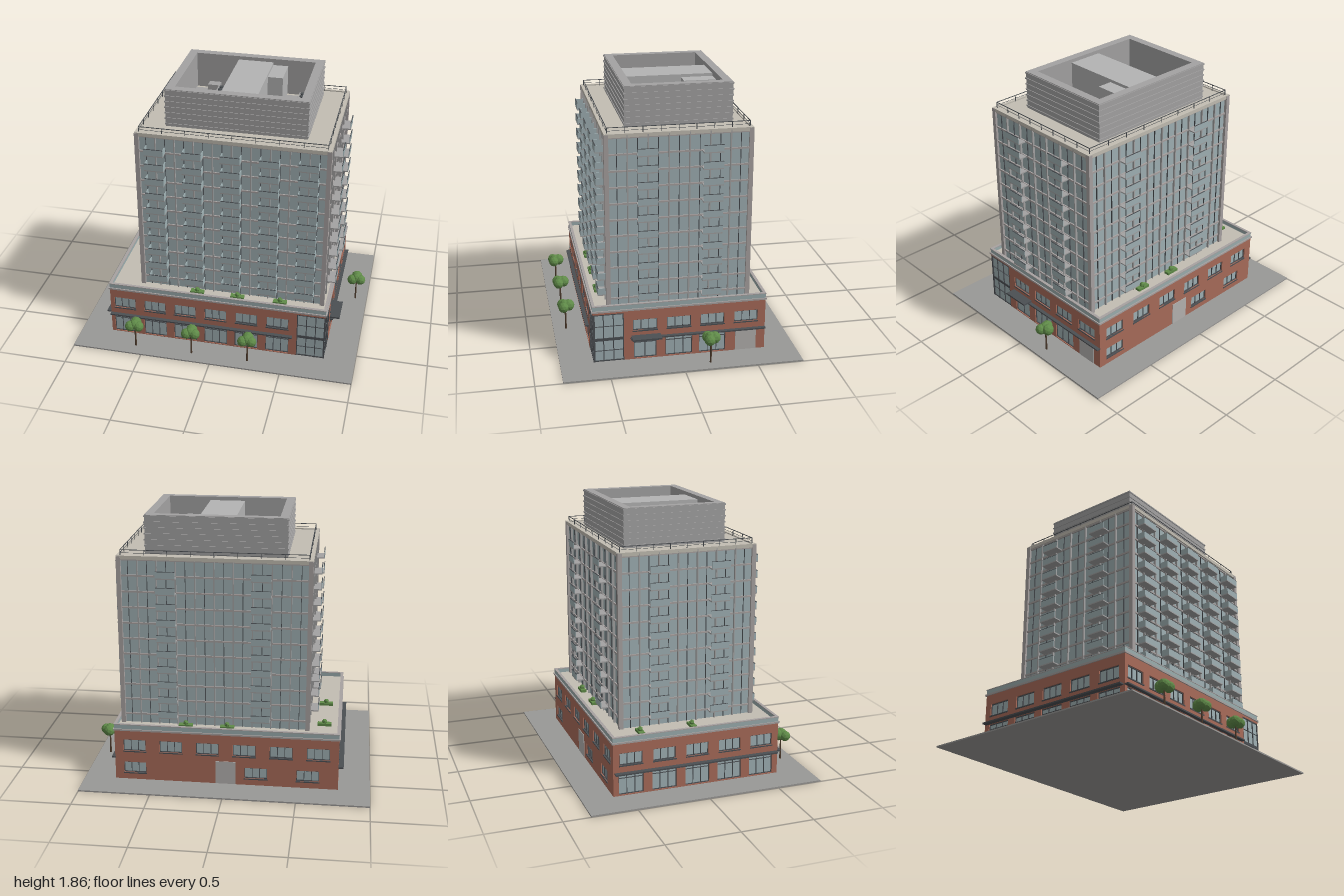
import * as THREE from 'three';
import { mergeGeometries } from 'three/addons/utils/BufferGeometryUtils.js';

const mat = (color, extra = {}) => new THREE.MeshStandardMaterial({ color, ...extra });
const M = {
  paving: mat(0x999896), brick: mat(0xa86b59), glass: mat(0x9fb0b3), dark: mat(0x4b4f53),
  pier: mat(0xa8a2a1), roof: mat(0xc2bdb2), metal: mat(0xa3a2a2), parapet: mat(0x9badae),
  door: mat(0xb5b2b0), trunk: mat(0x4f3d2e), well: mat(0xb3b3b3),
  leaf: mat(0x5f8a48, { flatShading: true }),
};
const BASE = 0.457, STEP = 0.1115, FLOORS = 10;

// Box geometry from its low and high corners
function span(x0, x1, y0, y1, z0, z1) {
  return new THREE.BoxGeometry(x1 - x0, y1 - y0, z1 - z0)
    .translate((x0 + x1) / 2, (y0 + y1) / 2, (z0 + z1) / 2);
}

function add(parent, name, geos, material) {
  const list = Array.isArray(geos) ? geos : [geos];
  if (!list.length) return;
  const mesh = new THREE.Mesh(list.length > 1 ? mergeGeometries(list) : list[0], material);
  mesh.name = name;
  parent.add(mesh);
}

// Group whose local z points out of one side of the building
function side(parent, name, angle, x = 0, z = 0) {
  const g = new THREE.Group();
  g.name = name;
  g.position.set(x, 0, z);
  g.rotation.y = angle;
  parent.add(g);
  return g;
}

// Four bars or walls around a rectangle
function ring(x0, x1, y0, y1, z0, z1, t) {
  return [span(x0, x1, y0, y1, z0, z0 + t), span(x0, x1, y0, y1, z1 - t, z1),
    span(x0, x0 + t, y0, y1, z0 + t, z1 - t), span(x1 - t, x1, y0, y1, z0 + t, z1 - t)];
}

// Brick wall with openings [u0, u1, y0, y1, mullions], outer face at z = d
function brickWall(parent, name, u0, u1, d, openings) {
  const g = side(parent, name, 0);
  const shape = new THREE.Shape([[u0, 0.01], [u1, 0.01], [u1, 0.385], [u0, 0.385]]
    .map(p => new THREE.Vector2(...p)));
  const bars = [];
  for (const [a, b, y0, y1, n] of openings) {
    shape.holes.push(new THREE.Path([[a, y0], [a, y1], [b, y1], [b, y0]]
      .map(p => new THREE.Vector2(...p))));
    bars.push(span(a, b, y1 - 0.005, y1, d - 0.018, d - 0.008), span(a, b, y0, y0 + 0.005, d - 0.018, d - 0.008));
    for (let i = 0; i <= n; i++) {
      const u = a + 0.002 + (b - a - 0.004) * i / n;
      bars.push(span(u - 0.002, u + 0.002, y0, y1, d - 0.018, d - 0.008));
    }
    if (y1 - y0 > 0.12) bars.push(span(a, b, 0.128, 0.132, d - 0.018, d - 0.008));
    else bars.push(span(a - 0.004, b + 0.004, y0 - 0.008, y0, d - 0.01, d + 0.004));
  }
  add(g, 'bricks', new THREE.ExtrudeGeometry(shape, { depth: 0.02, bevelEnabled: false }).translate(0, 0, d - 0.02), M.brick);
  add(g, 'windowFrames', bars, M.dark);
}

const row = (centres, width, y0, y1, n) => centres.map(c => [c - width / 2, c + width / 2, y0, y1, n]);
const evenly = (start, step, n) => Array.from({ length: n }, (_, i) => start + step * i);

function buildPodium(root) {
  const p = side(root, 'podium', 0, 0, -0.005);
  add(p, 'interiorGlazing', span(-0.765, 0.765, 0.01, 0.38, -0.58, 0.58), M.glass);
  const bays = evenly(-0.672, 0.2225, 6);
  const front = side(p, 'frontSide', 0), right = side(p, 'rightSide', Math.PI / 2);
  const back = side(p, 'backSide', Math.PI), left = side(p, 'leftSide', -Math.PI / 2);

  brickWall(front, 'frontWall', -0.78, 0.58, 0.595,
    [...row(bays, 0.157, 0.225, 0.31, 3), ...row(bays, 0.166, 0.016, 0.165, 3)]);
  add(front, 'canopy', span(-0.78, 0.55, 0.166, 0.176, 0.59, 0.622), M.dark);

  const rBays = [-0.24, -0.007, 0.225, 0.46];
  brickWall(right, 'rightWall', -0.385, 0.595, 0.78,
    [...row(rBays, 0.165, 0.225, 0.305, 3), ...row([-0.007, 0.225], 0.185, 0.016, 0.165, 3),
      ...row([-0.24], 0.155, 0.016, 0.165, 2)]);
  add(right, 'canopy', span(-0.34, 0.595, 0.166, 0.176, 0.775, 0.805), M.dark);
  add(right, 'entranceAwning', span(-0.335, -0.135, 0.178, 0.19, 0.775, 0.85), M.dark);
  add(right, 'serviceDoor', span(0.387, 0.533, 0.012, 0.165, 0.77, 0.784), M.door);

  brickWall(back, 'backWall', -0.78, 0.78, 0.595,
    [...row(evenly(-0.64, 0.256, 6), 0.157, 0.225, 0.31, 3), ...row([-0.64, 0.21, 0.57], 0.157, 0.06, 0.14, 3)]);
  add(back, 'loadingDoor', span(-0.07, 0.07, 0.012, 0.18, 0.59, 0.599), M.door);

  const lBays = evenly(-0.47, 0.235, 5);
  brickWall(left, 'leftWall', -0.595, 0.595, 0.78,
    [...row(lBays, 0.16, 0.225, 0.31, 3), ...row(lBays, 0.175, 0.016, 0.165, 3)]);
  add(left, 'canopy', span(-0.585, 0.585, 0.166, 0.176, 0.775, 0.815), M.dark);

  // Glazed entrance corner, two storeys high
  const c = side(p, 'glassCorner', 0);
  add(c, 'cornerGlass', span(0.58, 0.774, 0.01, 0.365, 0.385, 0.588), M.glass);
  add(c, 'cornerLintel', span(0.58, 0.78, 0.362, 0.385, 0.385, 0.595), M.brick);
  const bars = [];
  for (const [y, h] of [[0.012, 0.008], [0.165, 0.02], [0.355, 0.008], [0.09, 0.004], [0.27, 0.004]])
    bars.push(span(0.58, 0.779, y, y + h, 0.385, 0.593));
  for (const t of [0, 1 / 3, 2 / 3, 1]) {
    const x = 0.583 + 0.193 * t, z = 0.388 + 0.202 * t;
    bars.push(span(x - 0.003, x + 0.003, 0.01, 0.363, 0.58, 0.594), span(0.77, 0.78, 0.01, 0.363, z - 0.003, z + 0.003));
  }
  add(c, 'cornerFrames', bars, M.dark);

  // Terrace and its parapet
  add(p, 'terraceDeck', span(-0.77, 0.77, 0.38, 0.392, -0.585, 0.585), M.roof);
  add(p, 'coping', ring(-0.788, 0.788, 0.378, 0.39, -0.603, 0.603, 0.03), M.pier);
  add(p, 'parapet', ring(-0.78, 0.78, 0.39, 0.42, -0.595, 0.595, 0.014), M.parapet);
  add(p, 'parapetRail', ring(-0.783, 0.783, 0.42, 0.425, -0.598, 0.598, 0.02), M.pier);
  const spots = [[-0.67, -0.37], [-0.67, 0], [-0.15, 0.525], [0.14, 0.525], [0.445, 0.525], [0, -0.505], [0.29, -0.505]];
  add(p, 'planters', spots.map(([x, z]) => span(x - 0.048, x + 0.048, 0.39, 0.41, z - 0.02, z + 0.02)), M.leaf);
  add(p, 'shrubs', spots.map(([x, z]) => new THREE.IcosahedronGeometry(0.02, 0).translate(x, 0.42, z)), M.leaf);
}

// Curtain wall: slab edges, mullions, and stacked balconies
function towerSide(parent, name, angle, half, d, balconies, glazedEnds) {
  const g = side(parent, name, angle);
  const slabs = [], fins = [], minor = [], decks = [], panels = [], rails = [];
  for (let i = 0; i <= FLOORS; i++) {
    const y = BASE + STEP * i - 0.006;
    slabs.push(span(-half, half, y, y + 0.012, d - 0.02, d - 0.006));
  }
  const n = Math.round(half * 2 / 0.066);
  for (let i = 1; i < n; i++) {
    const u = -half + 2 * half * i / n, w = i % 2 ? 0.0018 : 0.004;
    (i % 2 ? minor : fins).push(span(u - w, u + w, 0.39, 1.59, d - 0.02, i % 2 ? d - 0.008 : d));
  }
  for (const c of balconies) for (let i = 0; i < FLOORS; i++) {
    const y = BASE + STEP * i, a = c - 0.066, b = c + 0.066, o = d + 0.053;
    decks.push(span(a, b, y - 0.005, y + 0.003, d - 0.015, o));
    panels.push(span(a, b, y + 0.003, y + 0.047, o - 0.004, o));
    rails.push(span(a, b, y + 0.047, y + 0.05, o - 0.005, o + 0.001));
    if (glazedEnds) for (const u of [a, b - 0.004])
      panels.push(span(u, u + 0.004, y + 0.003, y + 0.047, d - 0.015, o - 0.004));
  }
  add(g, 'slabEdges', slabs, M.pier);
  add(g, 'fins', fins, M.metal);
  add(g, 'mullions', minor, M.dark);
  add(g, 'balconyDecks', decks, M.metal);
  add(g, 'balconyPanels', panels, M.glass);
  add(g, 'balconyRails', rails, M.dark);
}

function buildTower(root) {
  const t = side(root, 'tower', 0, 0.09, 0);
  add(t, 'glassCore', span(-0.645, 0.645, 0.385, 1.585, -0.47, 0.47), M.glass);
  towerSide(t, 'towerFront', 0, 0.65, 0.485, evenly(-0.52, 0.26, 5), true);
  towerSide(t, 'towerBack', Math.PI, 0.65, 0.485, [-0.322, 0.322], false);
  towerSide(t, 'towerRight', Math.PI / 2, 0.475, 0.66, [-0.215, 0.215], false);
  towerSide(t, 'towerLeft', -Math.PI / 2, 0.475, 0.66, [-0.215, 0.215], false);
  const piers = [], posts = [];
  for (const sx of [-1, 1]) for (const sz of [-1, 1])
    piers.push(new THREE.BoxGeometry(0.03, 1.21, 0.03).translate(sx * 0.646, 0.99, sz * 0.475));
  add(t, 'cornerPiers', piers, M.pier);
  add(t, 'roofDeck', span(-0.65, 0.65, 1.578, 1.592, -0.475, 0.475), M.roof);
  add(t, 'roofEdge', ring(-0.66, 0.66, 1.575, 1.6, -0.488, 0.488, 0.02), M.roof);
  // Roof railing
  for (let i = 0; i <= 8; i++) for (const s of [-1, 1]) {
    posts.push(span(-0.636 + 1.268 * i / 8, -0.632 + 1.268 * i / 8, 1.59, 1.637, s * 0.468 - 0.002, s * 0.468 + 0.002));
    posts.push(span(s * 0.634 - 0.002, s * 0.634 + 0.002, 1.59, 1.637, -0.468 + 0.932 * i / 8, -0.464 + 0.932 * i / 8));
  }
  add(t, 'roofRailing', [...posts, ...ring(-0.636, 0.636, 1.634, 1.638, -0.47, 0.47, 0.004),
    ...ring(-0.636, 0.636, 1.614, 1.616, -0.469, 0.469, 0.002)], M.dark);
}

function buildPenthouse(root) {
  const p = side(root, 'mechanicalPenthouse', 0);
  add(p, 'screenWall', ring(-0.395, 0.57, 1.59, 1.86, -0.39, 0.33, 0.057), M.metal);
  const ribs = [];
  for (let i = 0; i < 7; i++) {
    const y = 1.605 + 0.04 * i;
    ribs.push(...ring(-0.4, 0.575, y, y + 0.01, -0.395, 0.335, 0.006));
  }
  add(p, 'louvreRibs', ribs, M.metal);
  add(p, 'wellFloor', span(-0.34, 0.515, 1.59, 1.605, -0.335, 0.275), M.roof);
  add(p, 'coreBlock', span(-0.035, 0.215, 1.6, 1.835, -0.335, 0.275), M.well);
  add(p, 'liftBlock', span(0.215, 0.32, 1.6, 1.815, -0.335, -0.115), M.well);
  add(p, 'ductRuns', [span(-0.32, -0.035, 1.6, 1.65, -0.05, -0.02), span(0.215, 0.5, 1.6, 1.65, -0.05, -0.02)], M.metal);
  // Plant units, tall ones carry a pair of fans
  const plain = [[-0.2, -0.28], [-0.27, -0.16], [0.375, -0.16], [0.45, 0.07], [-0.27, 0.21], [-0.13, 0.21], [0.37, 0.21]];
  const fanned = [[-0.13, -0.175], [0.45, -0.18], [-0.27, 0.085], [-0.13, 0.075], [0.375, 0.085], [0.45, 0.21]];
  add(p, 'plantUnits', [
    ...plain.map(([x, z]) => span(x - 0.042, x + 0.042, 1.6, 1.66, z - 0.032, z + 0.032)),
    ...fanned.map(([x, z]) => span(x - 0.027, x + 0.027, 1.6, 1.67, z - 0.048, z + 0.048))], M.metal);
  add(p, 'fans', fanned.flatMap(([x, z]) => [-0.022, 0.022].map(o =>
    new THREE.CylinderGeometry(0.017, 0.017, 0.008, 14).translate(x, 1.673, z + o))), M.dark);
}

function buildTree(root, x, z) {
  const t = side(root, 'tree', 0, x, z);
  add(t, 'trunk', new THREE.CylinderGeometry(0.005, 0.007, 0.17, 6).translate(0, 0.09, 0), M.trunk);
  const blobs = [[-0.03, 0.19, 0.018, 0.038], [0.03, 0.192, 0.014, 0.038], [0, 0.195, -0.024, 0.042], [0, 0.2, 0.005, 0.038]];
  add(t, 'foliage', blobs.map(([bx, by, bz, r]) => new THREE.IcosahedronGeometry(r, 1).translate(bx, by, bz)), M.leaf);
}

export function createModel() {
  const root = new THREE.Group();
  root.name = 'building';
  add(root, 'pavement', span(-1, 1, 0, 0.01, -0.815, 0.815), M.paving);
  buildPodium(root);
  buildTower(root);
  buildPenthouse(root);
  for (const [x, z] of [[-0.56, 0.725], [-0.15, 0.725], [0.255, 0.725], [0.915, -0.19]]) buildTree(root, x, z);
  return root;
}
